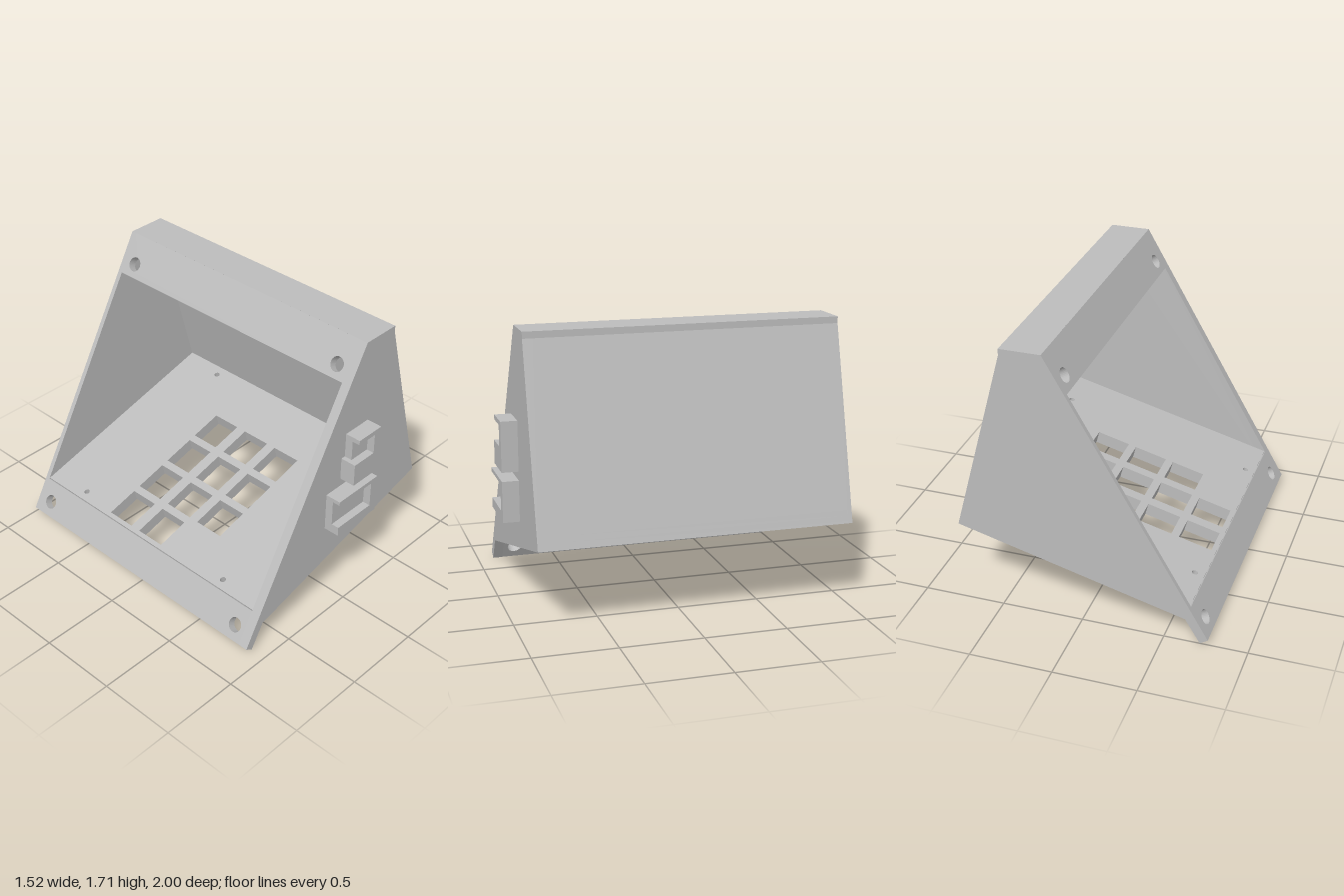
import * as THREE from 'three';

const Z0 = -0.97, Z1 = 0.84; // inner faces of the two end walls

export function createModel() {
  const model = new THREE.Group();
  model.name = 'slopedEnclosure';
  const grey = new THREE.MeshStandardMaterial({ color: 0xbcbcbc });
  grey.name = 'plain grey';

  const add = (name, geometry) => {
    const mesh = new THREE.Mesh(geometry, grey);
    mesh.name = name;
    model.add(mesh);
    return mesh;
  };
  const points = (list) => list.map(([x, y]) => new THREE.Vector2(x, y));

  // Extrude an x-y profile along z
  const prism = (name, list, z0, z1) => {
    const geo = new THREE.ExtrudeGeometry(new THREE.Shape(points(list)), { depth: z1 - z0, bevelEnabled: false });
    return add(name, geo.translate(0, 0, z0));
  };

  // Holes are described in plate coordinates: along the slope (u) and model z
  const polyHole = (list) => new THREE.Path(points(list.map(([u, z]) => [u, -z])));
  const rectHole = (u0, u1, z0, z1) => polyHole([[u0, z0], [u1, z0], [u1, z1], [u0, z1]]);
  const roundHole = (u, z, r) => new THREE.Path().absarc(u, -z, r, 0, Math.PI * 2, true);

  // Tilted plate starting at (x, y), running at the given angle, from n0 to n1 along its normal
  const plate = (name, x, y, angle, u0, u1, n0, n1, holes) => {
    const shape = new THREE.Shape(points([[u0, -Z1], [u1, -Z1], [u1, -Z0], [u0, -Z0]]));
    shape.holes.push(...holes);
    const geo = new THREE.ExtrudeGeometry(shape, { depth: n1 - n0, bevelEnabled: false, curveSegments: 16 });
    geo.translate(0, 0, n0);
    const c = Math.cos(angle), s = Math.sin(angle);
    const m = new THREE.Matrix4().makeBasis(
      new THREE.Vector3(c, s, 0), new THREE.Vector3(0, 0, -1), new THREE.Vector3(-s, c, 0));
    geo.applyMatrix4(m.setPosition(x, y, 0));
    return add(name, geo);
  };

  // End walls
  const outline = [[-0.715, 0.005], [-0.625, 0.155], [0.76, 0.523], [0.45, 1.67],
    [0.45, 1.71], [0.203, 1.71], [-0.762, 0.035]];
  prism('frontEndWall', outline, Z1, 0.9);
  prism('backEndWall', outline, -1, Z0);

  // Rear wall joined to the top strip
  prism('rearWallAndTop', [[0.76, 0.523], [0.45, 1.67], [0.45, 1.71], [0.203, 1.71],
    [0.235, 1.65], [0.4, 1.65], [0.703, 0.53]], Z0, Z1);

  // Mounting flanges on the open sloped side, two screw holes in each
  const slope = Math.atan2(1.675, 0.965);
  const flangeHoles = (s) => [0.765, -0.89].map((z) => roundHole(s, z, 0.045));
  plate('lowerFlange', -0.762, 0.035, slope, 0, 0.223, -0.056, 0, flangeHoles(0.092));
  plate('upperFlange', -0.762, 0.035, slope, 1.667, 1.933, -0.056, 0, flangeHoles(1.75));

  // Floor openings: eleven windows and four small screw holes
  const throughHoles = () => {
    const holes = [];
    [[0.11, 0.305], [-0.15, 0.045], [-0.41, -0.22]].forEach(([z0, z1], col) => {
      for (let row = col === 0 ? 1 : 0; row < 4; row++) {
        const u = 0.03 + row * 0.262;
        holes.push(rectHole(u, u + 0.212, z0, z1));
      }
    });
    for (const u of [0.06, 1.315]) for (const z of [0.545, -0.67]) holes.push(roundHole(u, z, 0.018));
    return holes;
  };

  // Shallow pockets on the underside: u0, u1, z0, z1
  const pockets = [
    [1.17, 1.3, 0.185, 0.44], [1.3, 1.355, -0.36, -0.24],
    [0.83, 0.98, -0.715, -0.66], [0.56, 0.71, -0.715, -0.66], [0.29, 0.43, -0.715, -0.66],
    [0.13, 0.19, -0.71, -0.56],
    [0.9, 0.98, 0.515, 0.555], [0.67, 0.76, 0.51, 0.56], [0.435, 0.52, 0.51, 0.56], [0.2, 0.31, 0.515, 0.55],
  ].map((p) => rectHole(...p));
  const branchedPocket = polyHole([[1.24, -0.24], [1.12, -0.24], [1.12, -0.54], [0.81, -0.54],
    [0.81, -0.59], [1.12, -0.59], [1.12, -0.715], [1.24, -0.715]]);

  // Floor in two layers, so the pockets stop half way through
  const tilt = Math.atan2(0.368, 1.385);
  plate('floorUnderside', -0.625, 0.155, tilt, 0, 1.433, 0, 0.045, [...throughHoles(), ...pockets, branchedPocket]);
  plate('floorTop', -0.625, 0.155, tilt, 0, 1.433, 0.045, 0.08, throughHoles());

  // Raised brackets on the front end wall: x0, x1, y0, y1, front z
  const block = (name, x0, x1, y0, y1, z) => {
    const geo = new THREE.BoxGeometry(x1 - x0, y1 - y0, z - 0.88);
    add(name, geo.translate((x0 + x1) / 2, (y0 + y1) / 2, (z + 0.88) / 2));
  };
  block('lowerBracketRecess', -0.09, 0.2, 0.61, 0.775, 0.95);
  prism('lowerBracket', [[-0.09, 0.55], [0.255, 0.55], [0.255, 0.8], [-0.09, 0.8],
    [-0.09, 0.775], [0.2, 0.775], [0.2, 0.61], [-0.09, 0.61]], 0.88, 1);
  block('upperBracketRecess', 0.06, 0.2, 1.0, 1.13, 0.95);
  prism('upperBracket', [[0.03, 0.855], [0.255, 0.855], [0.255, 1.16], [0.06, 1.16],
    [0.06, 1.13], [0.2, 1.13], [0.2, 1.0], [0.03, 1.0]], 0.88, 1);

  return model;
}
